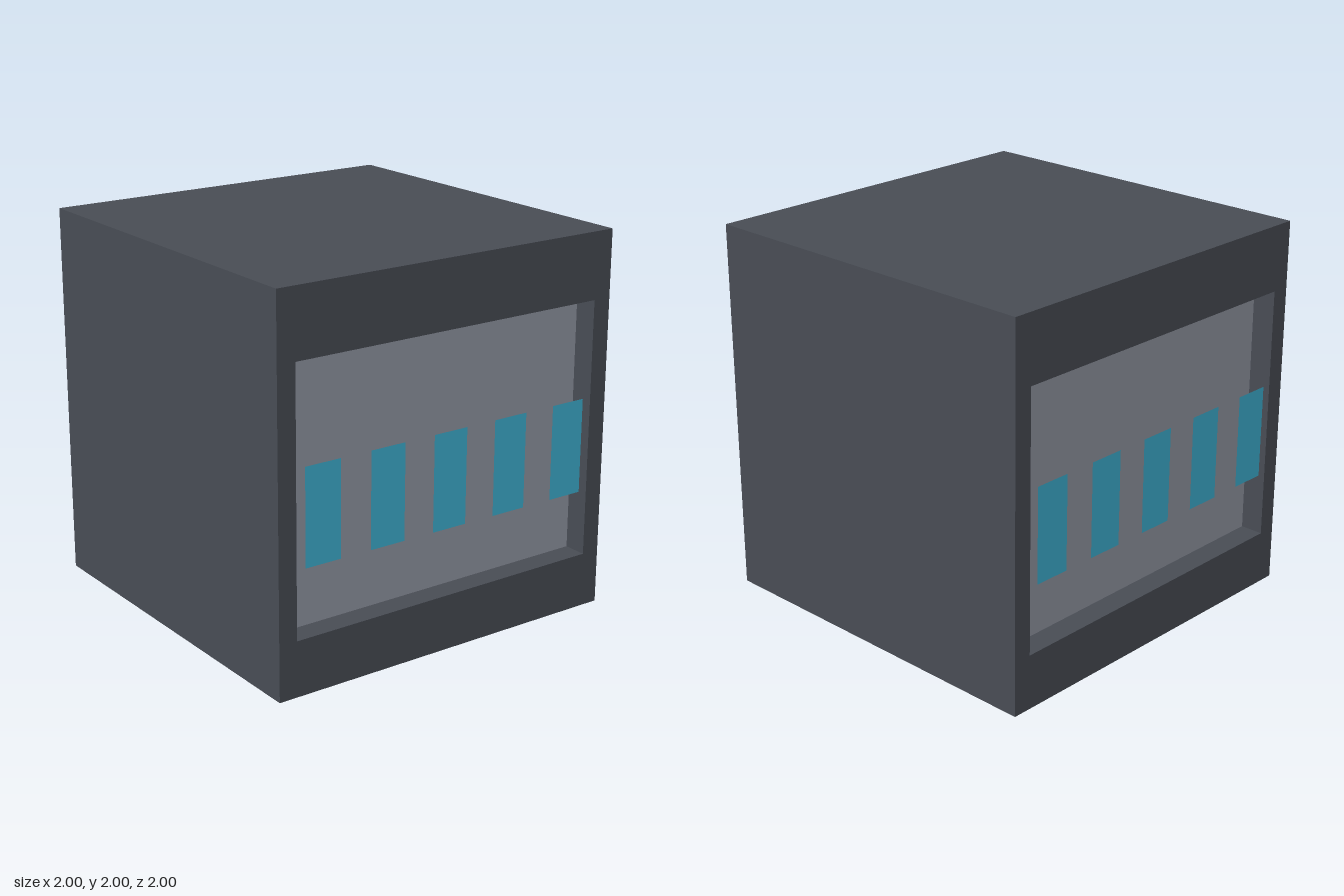
import * as THREE from 'three';

const casingMat = new THREE.MeshStandardMaterial({ name: 'dark casing grey', color: 0x484c54 });
const wallMat = new THREE.MeshStandardMaterial({ name: 'light panel grey', color: 0x9196a2 });
const lightMat = new THREE.MeshStandardMaterial({ name: 'light blue', color: 0x3eb0d1 });

const OPEN_W = 1.8, OPEN_BOTTOM = 0.29, OPEN_TOP = 1.65;
const OPEN_H = OPEN_TOP - OPEN_BOTTOM, OPEN_Y = (OPEN_TOP + OPEN_BOTTOM) / 2;
const RECESS = 0.125;

function addMesh(parent, name, geometry, material, x, y, z) {
  const mesh = new THREE.Mesh(geometry, material);
  mesh.name = name;
  mesh.position.set(x, y, z);
  parent.add(mesh);
  return mesh;
}

function rectPoints(x0, y0, x1, y1) {
  return [[x0, y0], [x1, y0], [x1, y1], [x0, y1]].map(([x, y]) => new THREE.Vector2(x, y));
}

// Recessed wall with a row of five flat panels level with the casing's face
function createFace(name) {
  const face = new THREE.Group();
  face.name = name;
  addMesh(face, 'recessedWall', new THREE.PlaneGeometry(OPEN_W, OPEN_H), wallMat, 0, OPEN_Y, 1 - RECESS);
  const panel = new THREE.PlaneGeometry(0.2, 0.5);
  for (let i = -2; i <= 2; i++) {
    addMesh(face, `bluePanel${i + 3}`, panel, lightMat, i * 0.375, 0.895, 1);
  }
  return face;
}

export function createModel() {
  const model = new THREE.Group();
  model.name = 'panelledCube';

  // Cube casing with a rectangular opening from front to back
  const outline = new THREE.Shape(rectPoints(-1, 0, 1, 2));
  outline.holes.push(new THREE.Path(rectPoints(-OPEN_W / 2, OPEN_BOTTOM, OPEN_W / 2, OPEN_TOP)));
  const casing = new THREE.ExtrudeGeometry(outline, { depth: 2, bevelEnabled: false });
  addMesh(model, 'casing', casing, casingMat, 0, 0, -1);

  // Matching front and back faces
  const back = createFace('backFace');
  back.rotation.y = Math.PI;
  model.add(createFace('frontFace'), back);
  return model;
}
